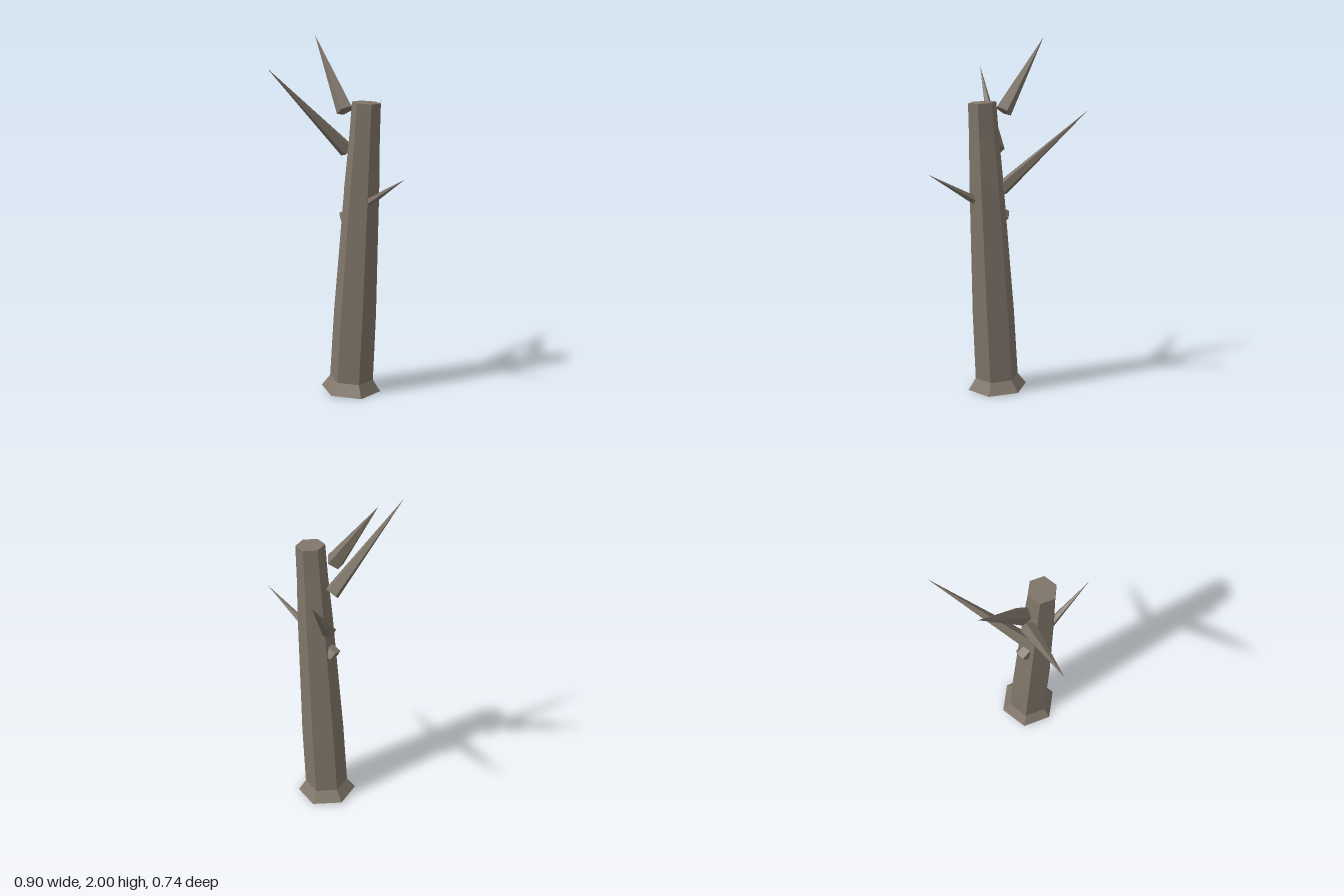
import * as THREE from 'three';

const bark = new THREE.MeshStandardMaterial({ color: 0x80766a, flatShading: true });

// Six-sided lathe with a pair of corners on the x axis
function createTrunk() {
  const profile = [
    [0, 0], [0.17, 0], [0.124, 0.065], [0.12, 0.45], [0.107, 0.85],
    [0.096, 1.2], [0.084, 1.45], [0.079, 1.64], [0, 1.64],
  ].map(([r, y]) => new THREE.Vector2(r, y));
  const trunk = new THREE.Mesh(new THREE.LatheGeometry(profile, 6, Math.PI / 2), bark);
  trunk.name = 'trunk';
  trunk.position.set(-0.055, 0.012, -0.067);
  trunk.rotation.x = 0.07; // slight lean forward
  return trunk;
}

// Pointed five-sided branch from a base centre to a tip
function createBranch(name, base, tip, radius) {
  const from = new THREE.Vector3(...base);
  const dir = new THREE.Vector3(...tip).sub(from);
  const length = dir.length();
  const geometry = new THREE.ConeGeometry(radius, length, 5);
  geometry.translate(0, length / 2, 0);
  const branch = new THREE.Mesh(geometry, bark);
  branch.name = name;
  branch.position.copy(from);
  branch.quaternion.setFromUnitVectors(new THREE.Vector3(0, 1, 0), dir.normalize());
  return branch;
}

export function createModel() {
  const tree = new THREE.Group();
  tree.name = 'deadTree';
  tree.add(createTrunk());

  const branches = [
    ['topBranch', [-0.05, 1.595, -0.105], [0, 2, -0.37], 0.05],
    ['rightBranch', [-0.07, 1.38, -0.077], [-0.455, 1.835, -0.3], 0.044],
    ['leftBranch', [-0.035, 1.16, -0.078], [0.45, 1.615, -0.252], 0.042],
    // The front branch passes through the trunk, leaving a stub behind
    ['frontBranch', [-0.045, 1.0, -0.115], [-0.132, 1.27, 0.37], 0.042],
  ];
  for (const spec of branches) tree.add(createBranch(...spec));
  return tree;
}
